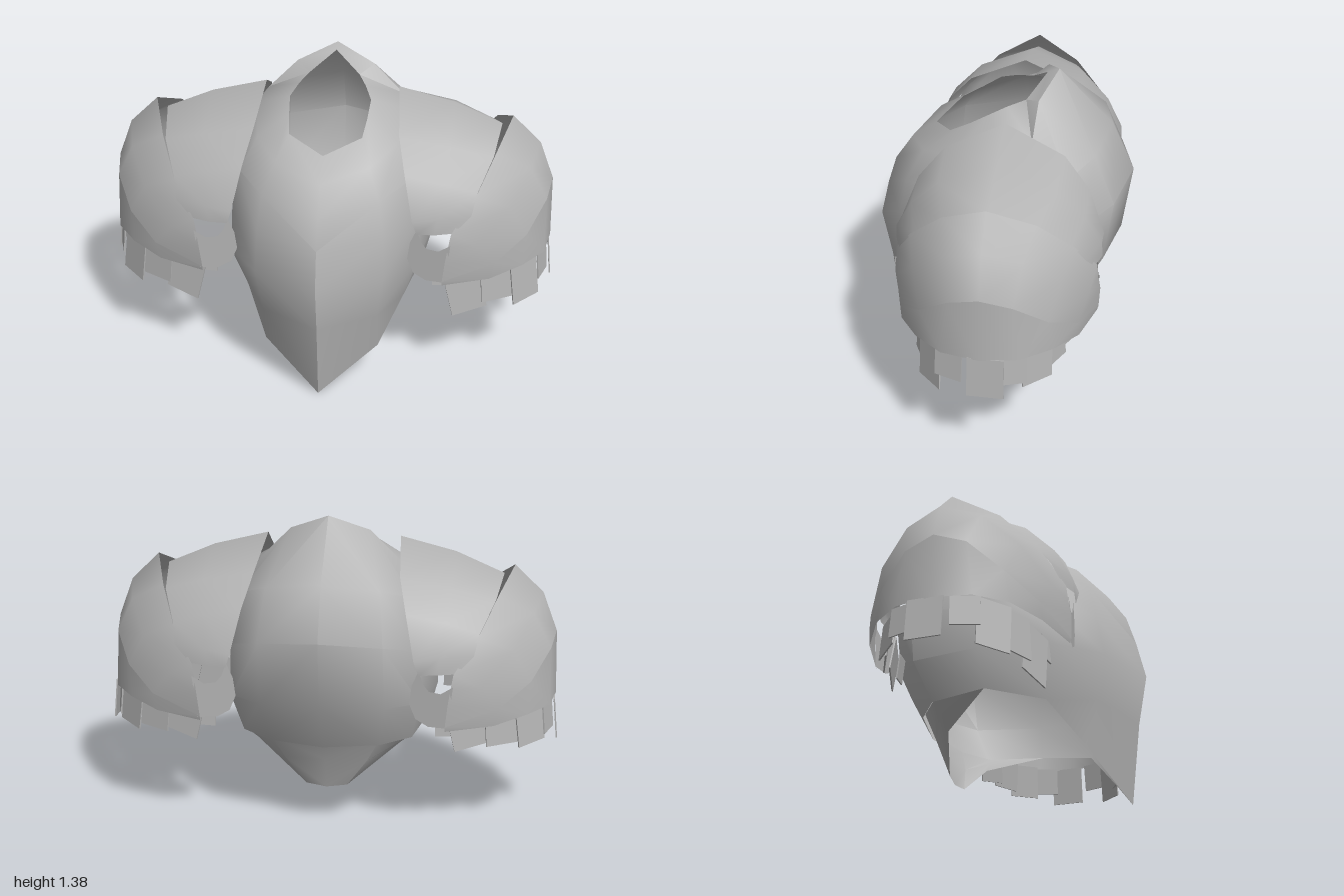
import * as THREE from 'three';
import { toCreasedNormals } from 'three/addons/utils/BufferGeometryUtils.js';

const steel = new THREE.MeshStandardMaterial({ color: 0xb4b4b4, side: THREE.DoubleSide });
steel.name = 'steel';
const ZC = -0.05; // shoulder plates are symmetrical about this depth

// Surface through rows of points, its diagonals mirrored about the middle column;
// skip(i, j) leaves a cell open
function loft(name, rows, crease, skip = () => false) {
  const n = rows[0].length, index = [];
  for (let i = 0; i < rows.length - 1; i++) {
    for (let j = 0; j < n - 1; j++) {
      if (skip(i, j)) continue;
      const a = i * n + j, b = a + n;
      if (j < (n - 1) / 2) index.push(a, b, b + 1, a, b + 1, a + 1);
      else index.push(a, b, a + 1, a + 1, b, b + 1);
    }
  }
  const geo = new THREE.BufferGeometry();
  geo.setAttribute('position', new THREE.Float32BufferAttribute(rows.flat(2), 3));
  geo.setIndex(index);
  return mesh(name, toCreasedNormals(geo, crease));
}

function mesh(name, geo) {
  const m = new THREE.Mesh(geo, steel);
  m.name = name;
  return m;
}

// Half row starting at the centre line, mirrored to a full row
const mirrorX = (half) => [...half.slice(1).reverse().map(([x, y, z]) => [-x, y, z]), ...half];

function cuirass() {
  // width and depth factors from front centre, round the side, to back centre
  const wide = [0, 0.59, 0.88, 1, 0.88, 0.57, 0];
  const deep = [1, 0.81, 0.54, 0, 0.64, 0.88, 1];
  // front y, z | side x, y, z | back y, z
  const rings = [
    [0.88, 0.49, 0.42, 1.00, -0.05, 1.14, -0.47],
    [0.75, 0.53, 0.455, 0.80, -0.05, 0.92, -0.57],
    [0.58, 0.57, 0.465, 0.60, -0.05, 0.62, -0.53],
    [0.36, 0.53, 0.42, 0.43, -0.03, 0.41, -0.42],
  ].map(([fy, fz, sx, sy, sz, by, bz]) => wide.map((w, k) => {
    const y = k < 4 ? fy : by, z = k < 4 ? fz : bz;
    return [sx * w, sy + (y - sy) * deep[k] ** 2, sz + (z - sz) * deep[k]];
  }));
  const waist = rings[3];
  waist[2] = [0.35, 0.375, 0.22];
  // angular neck opening and the collar rising to a peak behind it
  const neck = [[0, 1.08, 0.3], [0.155, 1.13, 0.21], [0.168, 1.18, 0.12], [0.175, 1.23, 0.04],
    [0.145, 1.26, -0.035], [0.11, 1.28, -0.11], [0, 1.36, -0.185]];
  const collar = [[0, 1.0, 0.41], [0.2, 1.05, 0.32], [0.3, 1.09, 0.17], [0.33, 1.16, -0.04],
    [0.3, 1.18, -0.16], [0.17, 1.31, -0.17], [0, 1.38, -0.235]];
  // pointed front tail
  const tail = [[0, 0, 0.49], [0.25, 0.19, 0.36], ...waist.slice(2)];
  const rows = [neck, collar, ...rings, tail].map(mirrorX);
  return loft('cuirass', rows, 0.72, (i, j) => i === 5 && (j < 4 || j > 7));
}

// Lower back skirt, its ends meeting the waist at the sides
function backFlap() {
  const side = [0.42, 0.43, -0.03];
  return loft('backFlap', [
    [[0, 0.43, -0.41], [0.235, 0.43, -0.365], [0.365, 0.43, -0.275], side],
    [[0, 0.33, -0.36], [0.18, 0.32, -0.33], [0.32, 0.39, -0.26], side],
    [[0, 0.18, -0.31], [0.09, 0.19, -0.3], [0.25, 0.33, -0.25], side],
  ].map((r) => mirrorX(r).reverse()), 0.72);
}

// Arched plate from rails running front to top, given as x, y, depth from centre
function archPlate(name, rails, s) {
  return loft(name, rails.map((rail) => {
    const front = rail.map(([x, y, d]) => [x * s, y, ZC + d]);
    const back = rail.slice(0, -1).reverse().map(([x, y, d]) => [x * s, y, ZC - d]);
    const row = [...front, ...back];
    return s > 0 ? row : row.reverse();
  }), 1.3);
}

// Curled end of the lower plates, beside the chest
function hook(s, side) {
  const outline = [[0.55, 0.73], [0.5, 0.695], [0.45, 0.70], [0.425, 0.73], [0.405, 0.785], [0.378, 0.72],
    [0.368, 0.64], [0.395, 0.575], [0.45, 0.545], [0.53, 0.545]];
  const geo = new THREE.ShapeGeometry(new THREE.Shape(outline.map(([x, y]) => new THREE.Vector2(x * s, y))));
  const p = geo.attributes.position;
  for (let i = 0; i < p.count; i++) {
    const inset = 0.55 - Math.abs(p.getX(i));
    p.setZ(i, ZC + side * (0.43 - inset * 0.15));
  }
  if (side < 0) geo.setIndex([...geo.index.array].reverse());
  geo.computeVertexNormals();
  return mesh(side > 0 ? 'frontHook' : 'backHook', geo);
}

function pauldron(s) {
  const g = new THREE.Group();
  g.name = s > 0 ? 'leftPauldron' : 'rightPauldron';

  const lowerRim = [[0.52, 0.55, 0.43], [0.74, 0.62, 0.365], [0.87, 0.71, 0.26], [0.95, 0.82, 0.13], [0.975, 0.86, 0]];
  g.add(archPlate('shoulderPlate', [
    [[0.405, 0.77, 0.42], [0.385, 0.83, 0.43], [0.345, 1.01, 0.36], [0.31, 1.14, 0.25], [0.29, 1.26, 0]],
    [[0.48, 0.78, 0.435], [0.49, 0.85, 0.43], [0.51, 0.98, 0.36], [0.53, 1.10, 0.24], [0.53, 1.2, 0]],
    [[0.56, 0.78, 0.41], [0.63, 0.85, 0.38], [0.65, 0.93, 0.32], [0.71, 1.04, 0.19], [0.74, 1.11, 0]],
  ], s));
  g.add(archPlate('upperArmPlate', [
    [[0.54, 0.72, 0.425], [0.55, 0.78, 0.42], [0.645, 0.92, 0.335], [0.72, 1.06, 0.19], [0.785, 1.15, 0]],
    [[0.53, 0.65, 0.435], [0.66, 0.72, 0.40], [0.79, 0.86, 0.3], [0.87, 0.98, 0.16], [0.91, 1.03, 0]],
    lowerRim,
  ], s));
  g.add(archPlate('lowerArmPlate', [
    lowerRim,
    [[0.52, 0.53, 0.425], [0.72, 0.545, 0.37], [0.86, 0.57, 0.28], [0.955, 0.575, 0.16], [0.985, 0.575, 0]],
  ], s));
  g.add(hook(s, 1), hook(s, -1));

  // hanging strips: x, depth from centre, yaw, roll, width, front bottom y, back bottom y
  const strips = [
    [0.51, 0.32, 0.1, 0, 0.07, 0.47, 0.47],
    [0.615, 0.305, 0.3, 0.22, 0.16, 0.335, 0.42],
    [0.755, 0.275, 0.45, 0.04, 0.15, 0.39, 0.43],
    [0.875, 0.22, 0.75, 0.08, 0.15, 0.365, 0.42],
    [0.95, 0.13, 1.25, 0, 0.12, 0.45, 0.45],
  ];
  const addStrip = (x, z, yaw, roll, w, bottom) => {
    const h = 0.58 - bottom;
    const strip = mesh('hangingStrip', new THREE.BoxGeometry(w, h, 0.006));
    strip.position.set(x * s, bottom + h / 2, z);
    strip.rotation.order = 'YXZ';
    strip.rotation.set(-0.1, s * yaw, s * roll);
    g.add(strip);
  };
  for (const [x, d, yaw, roll, w, front, back] of strips) {
    addStrip(x, ZC + d, yaw, roll, w, front);
    addStrip(x, ZC - d, Math.PI - yaw, -roll, w, back);
  }
  addStrip(0.985, -0.075, Math.PI / 2, 0, 0.15, 0.4);
  return g;
}

export function createModel() {
  const model = new THREE.Group();
  model.name = 'chestArmour';
  model.add(cuirass(), backFlap(), pauldron(1), pauldron(-1));
  return model;
}
